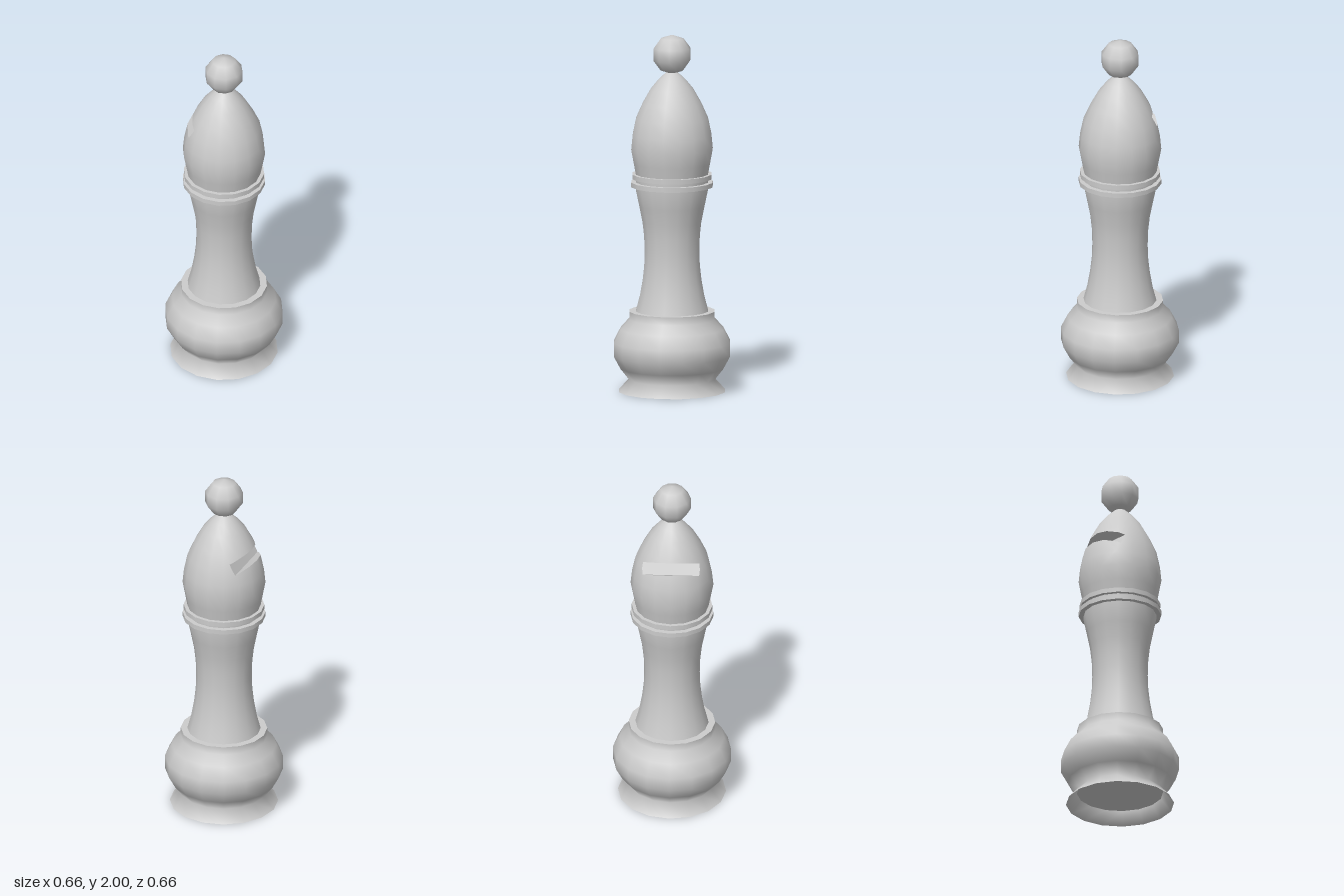
import * as THREE from 'three';

const SIDES = 16;
const material = new THREE.MeshStandardMaterial({ color: 0xcccccc, side: THREE.DoubleSide });

function lathe(points) {
  return new THREE.LatheGeometry(points.map(([r, y]) => new THREE.Vector2(r, y)), SIDES);
}

// Head outline, radius and height from the collar to the tip
const headProfile = [[0.2, 1.2], [0.215, 1.28], [0.23, 1.36], [0.222, 1.44], [0.203, 1.53],
  [0.165, 1.615], [0.12, 1.695], [0.075, 1.75], [0.035, 1.787], [0, 1.805]];

// Slot: inner corners low and high, running outwards along "out" with "up" across it
const low = new THREE.Vector2(-0.135, 1.5);
const out = new THREE.Vector2(-0.87, 0.493);
const up = new THREE.Vector2(0.493, 0.87);
const high = low.clone().addScaledVector(up, 0.07);

function headRadius(y) {
  for (let i = 1; i < headProfile.length; i++) {
    const [r0, y0] = headProfile[i - 1], [r1, y1] = headProfile[i];
    if (y <= y1) return r0 + (r1 - r0) * (y - y0) / (y1 - y0);
  }
  return 0;
}

// Half the depth of the many-sided head at a point of its middle plane
function halfDepth({ x, y }) {
  const r = headRadius(y), step = 2 * Math.PI / SIDES;
  for (let k = 0; k < SIDES / 4; k++) {
    const x0 = r * Math.cos(k * step), x1 = r * Math.cos((k + 1) * step);
    if (-x <= x0 && -x >= x1) {
      const z0 = r * Math.sin(k * step), z1 = r * Math.sin((k + 1) * step);
      return z0 + (z1 - z0) * (x0 + x) / (x0 - x1);
    }
  }
  return 0;
}

// Where a slot wall starting at p meets the head surface
function surfacePoint(p) {
  let inside = 0, outside = 0.2;
  for (let i = 0; i < 30; i++) {
    const t = (inside + outside) / 2;
    if (halfDepth(p.clone().addScaledVector(out, t)) > 0) inside = t; else outside = t;
  }
  return p.clone().addScaledVector(out, inside);
}

// Flat wall spanning the head's depth between two points
function slotWall(from, to) {
  const positions = [], indices = [], steps = 32;
  for (let i = 0; i <= steps; i++) {
    const p = from.clone().lerp(to, i / steps), z = halfDepth(p);
    positions.push(p.x, p.y, z, p.x, p.y, -z);
    const a = i * 2;
    if (i < steps) indices.push(a, a + 1, a + 2, a + 1, a + 3, a + 2);
  }
  const geometry = new THREE.BufferGeometry();
  geometry.setAttribute('position', new THREE.Float32BufferAttribute(positions, 3));
  geometry.setIndex(indices);
  geometry.computeVertexNormals();
  return geometry;
}

// Part of a polygon where sign * distance is positive
function clip(polygon, distance, sign) {
  const result = [];
  polygon.forEach((a, i) => {
    const b = polygon[(i + 1) % polygon.length];
    const da = sign * distance(a.p), db = sign * distance(b.p);
    if (da >= 0) result.push(a);
    if (da * db < 0) {
      const t = da / (da - db);
      result.push({ p: a.p.clone().lerp(b.p, t), n: a.n.clone().lerp(b.n, t).normalize() });
    }
  });
  return result;
}

// Turned head surface with the slot opening removed
function slottedHead() {
  const source = lathe(headProfile).toNonIndexed();
  const { position, normal } = source.attributes;
  const along = (v, origin, p) => v.x * (p.x - origin.x) + v.y * (p.y - origin.y);
  const limits = [p => along(out, low, p), p => along(up, low, p), p => -along(up, high, p)];
  const positions = [], normals = [];
  const emit = polygon => {
    for (let i = 1; i < polygon.length - 1; i++) {
      for (const v of [polygon[0], polygon[i], polygon[i + 1]]) {
        positions.push(...v.p.toArray());
        normals.push(...v.n.toArray());
      }
    }
  };
  for (let i = 0; i < position.count; i += 3) {
    let rest = [0, 1, 2].map(j => ({
      p: new THREE.Vector3().fromBufferAttribute(position, i + j),
      n: new THREE.Vector3().fromBufferAttribute(normal, i + j),
    }));
    for (const limit of limits) {
      emit(clip(rest, limit, -1));
      rest = clip(rest, limit, 1);
    }
  }
  const geometry = new THREE.BufferGeometry();
  geometry.setAttribute('position', new THREE.Float32BufferAttribute(positions, 3));
  geometry.setAttribute('normal', new THREE.Float32BufferAttribute(normals, 3));
  return geometry;
}

export function createModel() {
  const model = new THREE.Group();
  const add = (name, geometry, parent = model) => {
    const mesh = new THREE.Mesh(geometry, material);
    mesh.name = name;
    parent.add(mesh);
    return mesh;
  };

  // Flared foot, round base and its upright lip
  add('base', lathe([[0.3, 0], [0.24, 0.067], [0.29, 0.13], [0.328, 0.2], [0.328, 0.275],
    [0.29, 0.35], [0.24, 0.405], [0.24, 0.45]]));
  add('baseLedge', lathe([[0.24, 0.45], [0.19, 0.45]]));
  add('underside', new THREE.CircleGeometry(0.24, SIDES).rotateX(Math.PI / 2).translate(0, 0.067, 0));

  // Waisted column
  add('column', lathe([[0.203, 0.45], [0.182, 0.53], [0.166, 0.62], [0.157, 0.7], [0.154, 0.78],
    [0.157, 0.87], [0.166, 0.95], [0.184, 1.04], [0.203, 1.13], [0.203, 1.22]]));

  // Two thin collar rings
  for (const [name, radius, y] of [['lowerCollar', 0.23, 1.162], ['upperCollar', 0.224, 1.207]]) {
    add(name, new THREE.CylinderGeometry(radius, radius, 0.026, SIDES).translate(0, y, 0));
  }

  // Pointed head with a slanted slot on its right
  const head = new THREE.Group();
  head.name = 'head';
  model.add(head);
  add('headSurface', slottedHead(), head);
  add('slotLowerWall', slotWall(low, surfacePoint(low)), head);
  add('slotFloor', slotWall(high, low), head);
  add('slotUpperWall', slotWall(surfacePoint(high), high), head);

  // Ball on the tip
  add('finial', new THREE.SphereGeometry(0.11, 10, 5).rotateY(Math.PI / 2).translate(0, 1.89, 0));

  return model;
}
